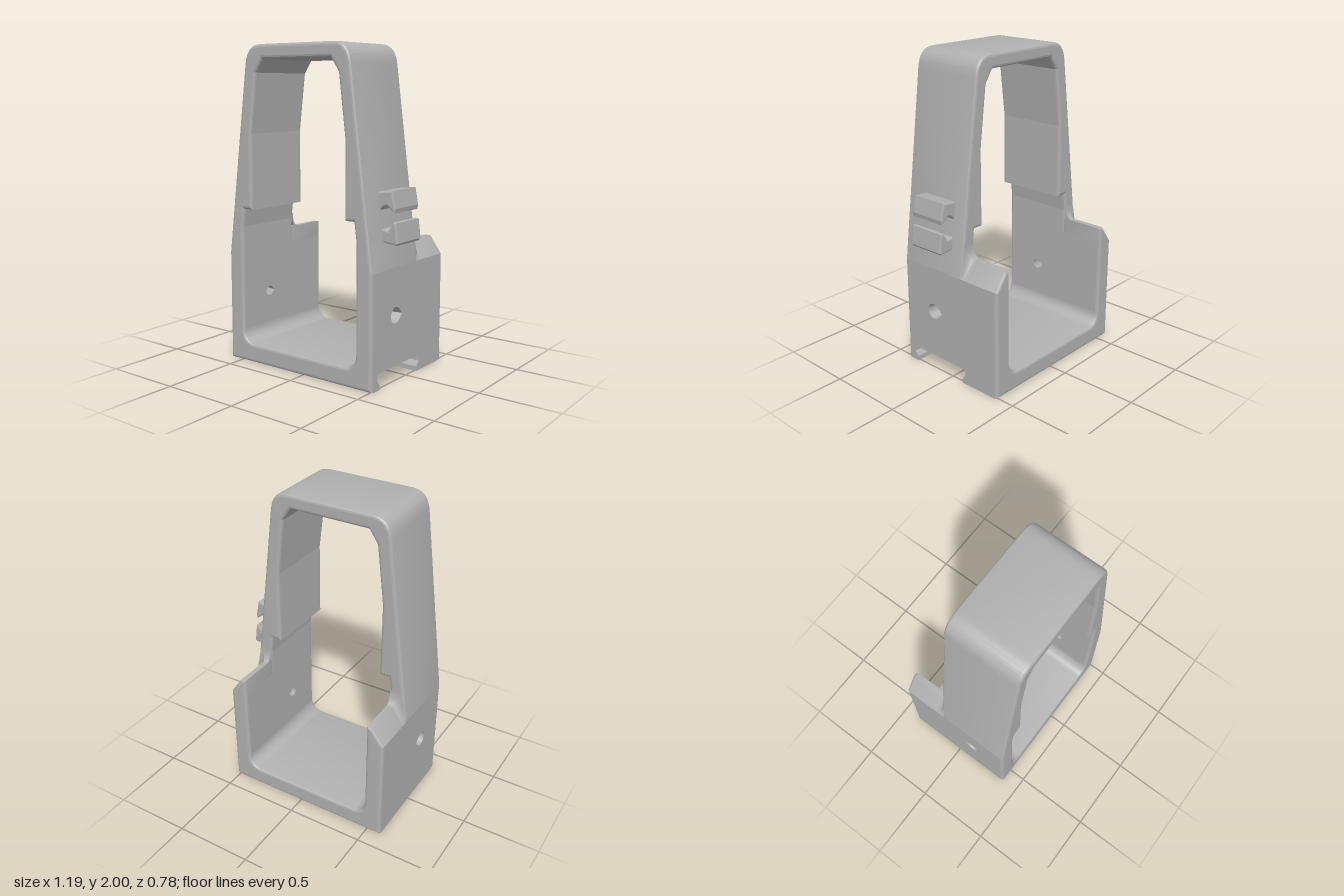
import * as THREE from 'three';
import { toCreasedNormals } from 'three/addons/utils/BufferGeometryUtils.js';

const FRONT = 0.39, BACK = -0.39, ARCH_BACK = -0.1, BEVEL = 0.02;
const OUT = 0.555, IN = 0.44, SPLIT = 0.7; // half widths and height where the sides start to lean

const mirror = (pts) => pts.map(([x, y]) => [-x, y]).reverse();

// Offsets an open polyline to its left by d, mitred at the corners
function offset(pts, d) {
  const normal = (a, b) => {
    const dx = b[0] - a[0], dy = b[1] - a[1], l = Math.hypot(dx, dy);
    return [-dy / l, dx / l];
  };
  return pts.map((p, i) => {
    const n0 = normal(pts[Math.max(i - 1, 0)], pts[Math.max(i, 1)]);
    const last = pts.length - 1;
    const n1 = normal(pts[Math.min(i, last - 1)], pts[Math.min(i + 1, last)]);
    const k = d / (1 + n0[0] * n1[0] + n0[1] * n1[1]);
    return [p[0] + (n0[0] + n1[0]) * k, p[1] + (n0[1] + n1[1]) * k];
  });
}

// Skins a row of equal-length 3D sections; skip(i, j) leaves quads open
function loft(sections, crease = 0.3, skip = () => false) {
  const pos = [];
  for (let i = 0; i < sections.length - 1; i++) {
    for (let j = 0; j < sections[i].length - 1; j++) {
      if (skip(i, j)) continue;
      const a = sections[i][j], b = sections[i][j + 1];
      const c = sections[i + 1][j + 1], d = sections[i + 1][j];
      pos.push(...a, ...b, ...c, ...a, ...c, ...d);
    }
  }
  const g = new THREE.BufferGeometry();
  g.setAttribute('position', new THREE.Float32BufferAttribute(pos, 3));
  return toCreasedNormals(g, crease);
}

// Sweeps a polyline along z with rounded ends; side is +1 if material lies to its left
function sweep(pts, side, z0, z1, crease, skipSegment) {
  const rows = [], steps = 3;
  const row = (k, z, dir) => {
    const a = (k / steps) * Math.PI / 2;
    const zz = z + dir * BEVEL * (1 - Math.cos(a));
    rows.push(offset(pts, side * BEVEL * (1 - Math.sin(a))).map(([x, y]) => [x, y, zz]));
  };
  for (let k = 0; k <= steps; k++) row(k, z0, -1);
  for (let k = steps; k >= 0; k--) row(k, z1, 1);
  return loft(rows, crease, (i, j) => i === steps && skipSegment?.(j));
}

// Flat face with holes, placed by a map from 2D to 3D
function face(outline, holes, map) {
  const vec = (pts) => pts.map(([x, y]) => new THREE.Vector2(x, y));
  const shape = new THREE.Shape(vec(outline));
  holes.forEach((h) => shape.holes.push(new THREE.Path(vec(h))));
  const g = new THREE.ShapeGeometry(shape).toNonIndexed();
  const p = g.attributes.position;
  for (let i = 0; i < p.count; i++) p.setXYZ(i, ...map(p.getX(i), p.getY(i)));
  g.computeVertexNormals();
  return g;
}

// Teardrop outline in (z, y), pointing to the back
function teardrop(r) {
  const pts = [[0.14 - r * 1.41, 0.41]];
  for (let i = 0; i <= 16; i++) {
    const a = -Math.PI * 0.75 + (i / 16) * Math.PI * 1.5;
    pts.push([0.14 + r * Math.cos(a), 0.41 + r * Math.sin(a)]);
  }
  return pts;
}

export function createModel() {
  const model = new THREE.Group();
  model.name = 'frame';
  const grey = new THREE.MeshStandardMaterial({ color: 0xb0b0b0, side: THREE.DoubleSide });
  grey.name = 'grey';
  const add = (name, geometry) => {
    const m = new THREE.Mesh(geometry, grey);
    m.name = name;
    m.position.x = -0.04;
    model.add(m);
    return m;
  };

  // Profiles in (x, y), all running counter-clockwise
  const baseOuter = [[-OUT, SPLIT], [-OUT, 0], [OUT, 0], [OUT, SPLIT]];
  const fillet = [];
  for (let i = 0; i <= 8; i++) {
    const a = -Math.PI / 2 + (i / 8) * Math.PI / 2;
    fillet.push([0.36 + 0.08 * Math.cos(a), 0.2 + 0.08 * Math.sin(a)]);
  }
  const innerHalf = [...fillet, [IN, SPLIT]];
  const baseInner = [...mirror(innerHalf), ...innerHalf];
  const corner = new THREE.QuadraticBezierCurve(
    new THREE.Vector2(0.402, 1.88), new THREE.Vector2(0.387, 2), new THREE.Vector2(0.28, 2));
  const archHalf = [[OUT, SPLIT], ...corner.getPoints(8).map((p) => [p.x, p.y])];
  const archOuter = [...archHalf, ...mirror(archHalf)];
  const hookHalf = [[IN, SPLIT], [IN, 0.87], [0.425, 0.985], [0.36, 0.985], [0.36, 1.46],
    [0.315, 1.83], [0.26, 1.91]];
  const archInner = [...hookHalf, ...mirror(hookHalf)];
  const ear = [[OUT, SPLIT], [0.475, 0.81], [IN, 0.81], [IN, SPLIT]];

  // Swept skins
  add('baseOuterEdges', sweep(baseOuter, 1, FRONT, BACK, 0.3, () => true));
  add('baseInside', sweep(baseInner, -1, FRONT, BACK, 0.3,
    (j) => j === 0 || j === baseInner.length - 2));
  add('archOutside', sweep(archOuter, 1, FRONT, ARCH_BACK));
  add('archInside', sweep(archInner, -1, FRONT, ARCH_BACK, 0.1));
  add('rightEar', sweep(ear, 1, -0.08, BACK));
  add('leftEar', sweep(mirror(ear), 1, -0.08, BACK));

  // Front and back faces
  const inO = (p) => offset(p, BEVEL), inI = (p) => offset(p, -BEVEL);
  add('frontFace', face([...inO(baseOuter), ...inO(archOuter)],
    [[...inI(baseInner), ...inI(archInner)]], (x, y) => [x, y, FRONT]));
  add('archBackFace', face([...inO(archOuter), ...inI(archInner).reverse()], [],
    (x, y) => [x, y, ARCH_BACK]));
  add('baseBackFace', face([...inO(baseOuter), ...inO(ear), ...inI(baseInner).reverse(),
    ...inO(mirror(ear))], [], (x, y) => [x, y, BACK]));

  // Side walls with tapered teardrop holes; the slot opens through the +x wall
  const f = FRONT - BEVEL, b = -f;
  const notch = [[-0.1, 0], [-0.1, 0.03], [-0.127, 0.06], [-0.127, 0.1],
    [0.332, 0.1], [0.332, 0.06], [0.305, 0.03], [0.305, 0]];
  for (const s of [1, -1]) {
    const side = s > 0 ? 'left' : 'right';
    const foot = s > 0 ? notch : [];
    add(side + 'WallOutside', face([[b, 0], ...foot, [f, 0], [f, SPLIT], [b, SPLIT]],
      [teardrop(0.05)], (z, y) => [s * OUT, y, z]));
    add(side + 'WallInside', face([[b, 0.2], [f, 0.2], [f, SPLIT], [b, SPLIT]],
      [teardrop(0.032)], (z, y) => [s * IN, y, z]));
    const ring = (r, x) => [...teardrop(r), teardrop(r)[0]].map(([z, y]) => [s * x, y, z]);
    add(side + 'WallHole', loft([ring(0.05, OUT), ring(0.032, IN)]));

    // Concave fillet between ear and arch
    const low = [[IN, 0.8], [IN, 0.81], [0.475, 0.81], [OUT, SPLIT]];
    const high = [[IN, 0.8], [IN, 0.9], [0.52, 0.88], [OUT, SPLIT + 0.01]];
    const rows = [];
    for (let k = 0; k <= 6; k++) {
      const a = (k / 6) * Math.PI / 2, t = 1 - Math.cos(a);
      rows.push(low.map(([x, y], i) => [s * (x + (high[i][0] - x) * t),
        y + (high[i][1] - y) * t, -0.145 + 0.045 * Math.sin(a)]));
    }
    add(side + 'EarFillet', loft(rows));
  }

  // Underside with an undercut slot, planned in (x, z)
  const slot = [[OUT, -0.1], [-0.25, -0.1], [-0.25, 0.305], [OUT, 0.305]];
  const wide = offset(slot, 0.027);
  add('underside', face([[-OUT, b], [OUT, b], ...slot, [OUT, f], [-OUT, f]], [],
    (x, z) => [x, 0, z]));
  add('slotWalls', loft([[slot, 0], [slot, 0.03], [wide, 0.06], [wide, 0.1]]
    .map(([pts, y]) => pts.map(([x, z]) => [x, y, z]))));
  add('slotRoof', face(wide, [], (x, z) => [x, 0.1, z]));

  // Pair of cable clip jaws on the +x side
  const jaws = {
    upperClip: [[0.44, 1.15], [0.552, 1.162], [0.572, 1.06], [0.566, 1.033], [0.515, 1.075],
      [0.485, 1.065], [0.46, 1.035]],
    lowerClip: [[0.475, 0.862], [0.58, 0.848], [0.592, 0.862], [0.577, 0.978], [0.56, 0.982],
      [0.525, 0.93], [0.47, 0.94]],
  };
  for (const [name, pts] of Object.entries(jaws)) {
    const shape = new THREE.Shape(pts.map(([x, y]) => new THREE.Vector2(x, y)));
    const g = new THREE.ExtrudeGeometry(shape, { depth: 0.235, bevelThickness: 0.01,
      bevelSize: 0.01, bevelOffset: -0.01, bevelSegments: 2 });
    add(name, g).position.x = 0;
  }
  return model;
}
